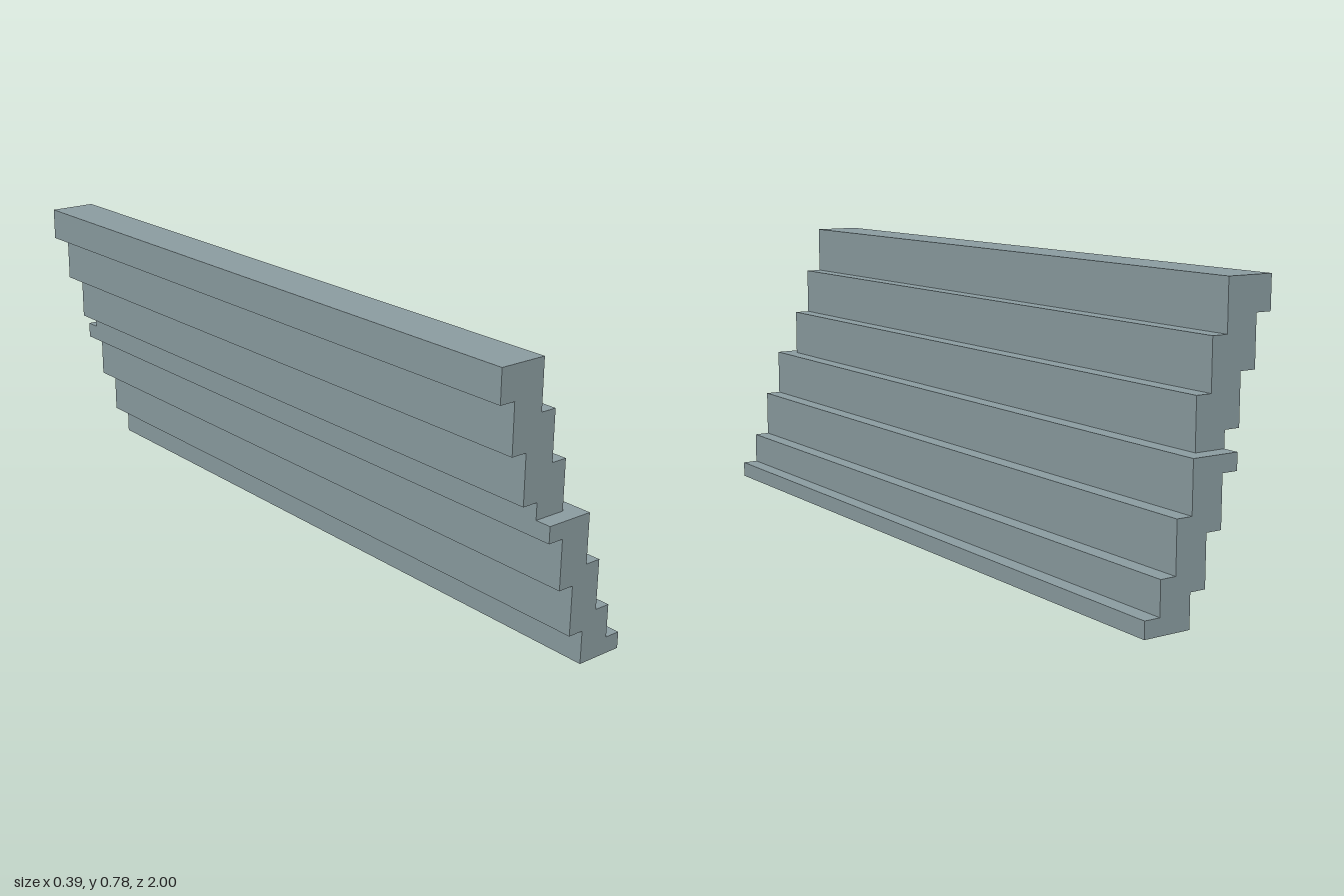
import * as THREE from 'three';

// Grid unit: every step edge lies on this module
const U = 1 / 23;

// Extrude a stepped x/y outline along z, centred on z = 0
function steppedWall(name, outline, halfLength, material) {
  const shape = new THREE.Shape(
    outline.map(([x, y]) => new THREE.Vector2((x - 4.5) * U, y * U))
  );
  const geometry = new THREE.ExtrudeGeometry(shape, {
    depth: 2 * halfLength * U,
    bevelEnabled: false,
  });
  geometry.translate(0, 0, -halfLength * U);
  const mesh = new THREE.Mesh(geometry, material);
  mesh.name = name;
  return mesh;
}

export function createModel() {
  const group = new THREE.Group();
  group.name = 'steppedRetainingWall';

  const stone = new THREE.MeshStandardMaterial({ color: 0x8c9ea2 });
  stone.name = 'greyStone';

  // Lower, longer courses with a small toe at the foot
  const lower = [
    [6, 0], [9, 0], [9, 1], [8, 1], [8, 3], [7, 3], [7, 6], [6, 6], [6, 9],
    [3, 9], [3, 8], [4, 8], [4, 5], [5, 5], [5, 2], [6, 2],
  ];

  // Upper, shorter courses ending in a flat cap
  const upper = [
    [3, 9], [5, 9], [5, 12], [4, 12], [4, 15], [3, 15], [3, 18],
    [0, 18], [0, 16], [1, 16], [1, 13], [2, 13], [2, 10], [3, 10],
  ];

  group.add(steppedWall('lowerSteps', lower, 23, stone));
  group.add(steppedWall('upperSteps', upper, 22, stone));
  return group;
}
